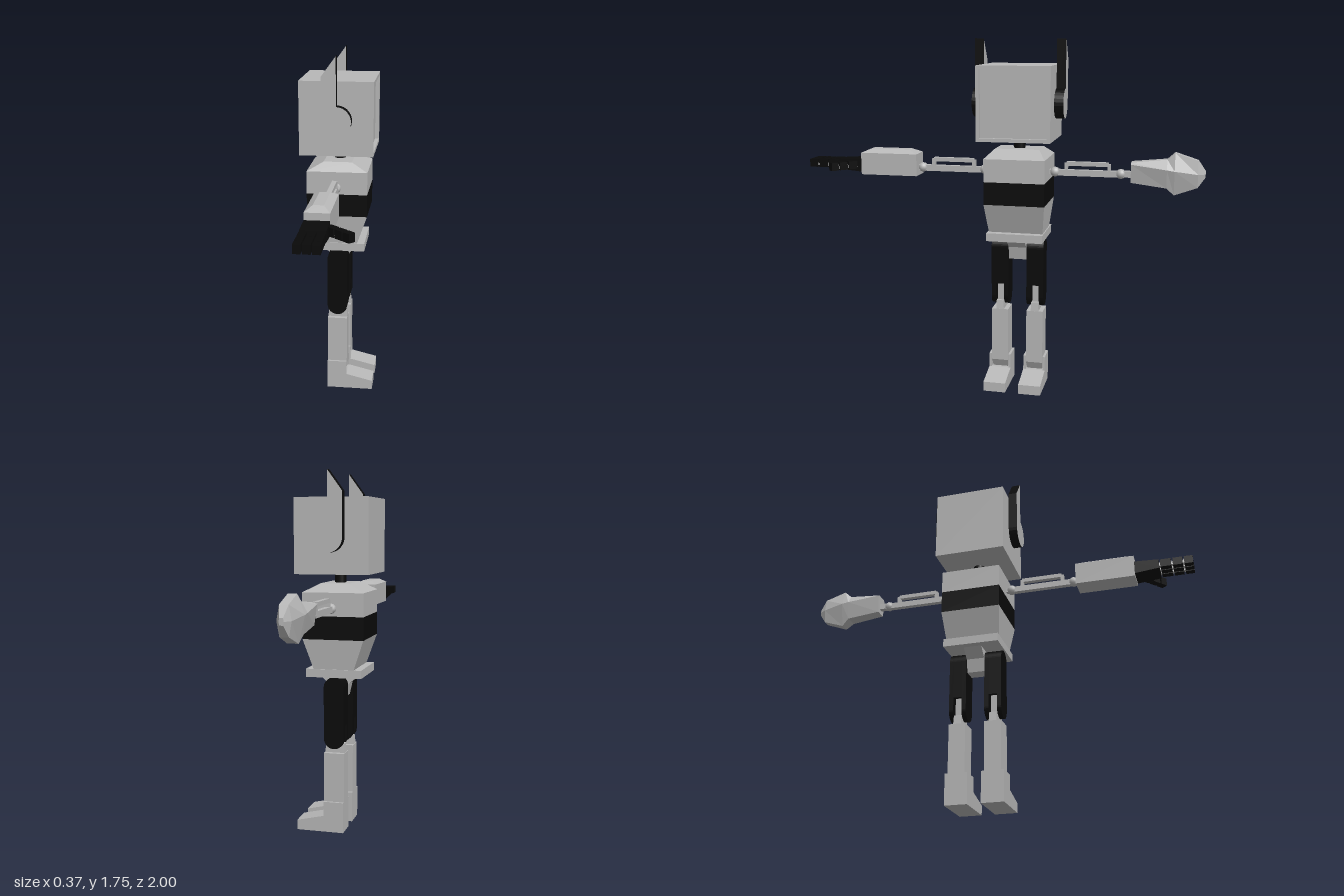
import * as THREE from 'three';

const CX = -0.005, CZ = -0.1, ARM_Y = 1.107;

export function createModel() {
  const gray = new THREE.MeshStandardMaterial({ name: 'gray metal', color: 0xb8b8b8 });
  const black = new THREE.MeshStandardMaterial({ name: 'black rubber', color: 0x0a0a0a });
  const root = new THREE.Group();
  root.name = 'robot';

  const add = (parent, name, geo, mat, x = 0, y = 0, z = 0) => {
    const m = new THREE.Mesh(geo, mat);
    m.name = name;
    m.position.set(x, y, z);
    parent.add(m);
    return m;
  };
  const group = (name, parent = root) => {
    const g = new THREE.Group();
    g.name = name;
    parent.add(g);
    return g;
  };
  // box given by its limits
  const box = (parent, name, mat, x0, x1, y0, y1, z0, z1) =>
    add(parent, name, new THREE.BoxGeometry(x1 - x0, y1 - y0, z1 - z0), mat,
      (x0 + x1) / 2, (y0 + y1) / 2, (z0 + z1) / 2);
  // capped faceted loft through rings of [x, y, z], rising along y
  const loft = (rings) => {
    const p = [], n = rings[0].length, last = rings[rings.length - 1];
    for (let i = 0; i + 1 < rings.length; i++) {
      for (let j = 0; j < n; j++) {
        const k = (j + 1) % n, a = rings[i][j], b = rings[i][k], c = rings[i + 1][k], d = rings[i + 1][j];
        p.push(...a, ...b, ...c, ...a, ...c, ...d);
      }
    }
    for (let j = 1; j + 1 < n; j++) {
      p.push(...last[0], ...last[j], ...last[j + 1]);
      p.push(...rings[0][0], ...rings[0][j + 1], ...rings[0][j]);
    }
    const g = new THREE.BufferGeometry();
    g.setAttribute('position', new THREE.Float32BufferAttribute(p, 3));
    g.computeVertexNormals();
    return g;
  };
  const rect = (y, hx, hz) => [[hx, y, hz], [hx, y, -hz], [-hx, y, -hz], [-hx, y, hz]];
  const shapeOf = (pts) => new THREE.Shape(pts.map(([x, y]) => new THREE.Vector2(x, y)));
  const extrude = (shape, depth) =>
    new THREE.ExtrudeGeometry(shape, { depth, bevelEnabled: false, curveSegments: 10 });

  // head: box with a recessed screen on its +x face
  const head = group('head');
  box(head, 'headBox', gray, -0.185, 0.155, 1.267, 1.627, -0.28, 0.08);
  const rim = shapeOf([[-0.18, -0.18], [0.18, -0.18], [0.18, 0.18], [-0.18, 0.18]]);
  rim.holes.push(new THREE.Path([[-0.163, -0.163], [-0.163, 0.163], [0.163, 0.163], [0.163, -0.163]]
    .map(([x, y]) => new THREE.Vector2(x, y))));
  add(head, 'screenFrame', extrude(rim, 0.02), gray, 0.155, 1.447, CZ).rotation.y = Math.PI / 2;

  // ear discs with blade antennas, dark on the edges
  const ear = new THREE.Shape();
  ear.moveTo(-0.072, 0);
  ear.absarc(0, 0, 0.072, Math.PI, Math.PI * 2.5, false);
  ear.lineTo(0, 0.308);
  ear.lineTo(-0.072, 0.21);
  for (const [name, z] of [['leftEar', 0.08], ['rightEar', -0.325]])
    add(head, name, extrude(ear, 0.045), [gray, black], 0, 1.442, z);
  add(root, 'neck', new THREE.CylinderGeometry(0.029, 0.029, 0.06, 12), black, CX, 1.245, CZ);

  // torso, waist band and hips
  const torso = group('torso');
  const slab = (name, mat, ...r) => add(torso, name, loft(r.map((a) => rect(...a))), mat, CX, 0, CZ);
  slab('chest', gray, [1.067, 0.15, 0.15], [1.18, 0.15, 0.15], [1.222, 0.07, 0.11]);
  slab('chestBand', black, [0.955, 0.15, 0.15], [1.067, 0.15, 0.15]);
  slab('abdomen', gray, [0.81, 0.1, 0.135], [0.955, 0.15, 0.15]);
  slab('beltPlate', gray, [0.77, 0.137, 0.14], [0.81, 0.137, 0.14]);
  add(torso, 'pelvis', extrude(shapeOf([[-0.1, 0.77], [-0.05, 0.725], [-0.035, 0.66], [0.035, 0.66],
    [0.05, 0.725], [0.1, 0.77]]), 0.09), gray, CX, 0, CZ - 0.045);

  // legs
  const stadium = new THREE.Shape();
  stadium.absarc(0, 0.72, 0.05, 0, Math.PI, false);
  stadium.absarc(0, 0.467, 0.05, Math.PI, Math.PI * 2, false);
  const core = new THREE.Shape();
  core.absarc(0, 0.72, 0.05, 0, Math.PI, false);
  core.lineTo(-0.05, 0.53);
  core.lineTo(0.05, 0.53);
  const sole = shapeOf([[-0.05, 0], [0.185, 0], [0.185, 0.048], [0.05, 0.08], [-0.05, 0.08]]);
  for (const [name, s] of [['leftLeg', 1], ['rightLeg', -1]]) {
    const leg = group(name);
    leg.position.set(CX, 0, CZ + s * 0.0895);
    for (const z of [-0.043, 0.021]) add(leg, 'thighPlate', extrude(stadium, 0.022), black, 0, 0, z);
    add(leg, 'thighCore', extrude(core, 0.042), black, 0, 0, -0.021);
    box(leg, 'kneeStrut', gray, -0.03, 0.03, 0.42, 0.53, -0.015, 0.015);
    add(leg, 'kneeBase', loft([rect(0.39, 0.05, 0.02), rect(0.44, 0.045, 0.018)]), gray);
    add(leg, 'shin', loft([rect(0.08, 0.03, 0.038), rect(0.12, 0.05, 0.042), rect(0.395, 0.05, 0.042)]), gray);
    add(leg, 'foot', extrude(sole, 0.112), gray, 0, 0, -0.056);
    for (const z of [-0.056, 0.044]) box(leg, 'ankleWall', gray, -0.05, 0.05, 0.08, 0.152, z, z + 0.012);
    box(leg, 'heelWall', gray, -0.05, -0.038, 0.08, 0.152, -0.044, 0.044);
  }

  // upper arms: rod with a raised grip bar between two ball joints
  for (const [name, s] of [['leftArm', 1], ['rightArm', -1]]) {
    const arm = group(name);
    arm.position.set(CX, ARM_Y, CZ);
    const bar = (label, hx, y0, y1, a, b) =>
      box(arm, label, gray, -hx, hx, y0, y1, Math.min(s * a, s * b), Math.max(s * a, s * b));
    for (const [label, d] of [['shoulderJoint', 0.178], ['elbowJoint', 0.5]])
      add(arm, label, new THREE.IcosahedronGeometry(0.025, 1), gray, 0, 0, s * d);
    bar('shoulderPin', 0.011, -0.012, 0.012, 0.14, 0.18);
    bar('armRod', 0.013, -0.017, 0.013, 0.195, 0.485);
    bar('elbowPin', 0.014, -0.015, 0.015, 0.5, 0.56);
    bar('gripBar', 0.012, 0.033, 0.053, 0.235, 0.44);
    for (const d of [0.225, 0.435]) bar('gripPost', 0.012, 0.013, 0.046, d, d + 0.016);
  }

  // left forearm with a hipped top
  add(root, 'leftForearm', loft([rect(1.067, 0.056, 0.147), rect(1.178, 0.056, 0.147),
    rect(1.198, 0.024, 0.1)]), gray, CX, 0, 0.567);

  // left hand: palm, three fingers and a thumb with small pale joints
  const hand = group('leftHand');
  hand.position.set(CX, 1.117, 0);
  const palm = add(hand, 'palm', loft([
    [[0.056, 0, 0.028], [0.056, 0, -0.037], [-0.056, 0, -0.037], [-0.056, 0, 0.028]],
    [[0.056, 0.12, 0.022], [0.056, 0.12, -0.025], [-0.056, 0.12, -0.025], [-0.056, 0.12, 0.022]],
  ].map((r) => r.map(([x, y, z]) => [x, y, -z]).reverse())), black, 0, 0, 0.713);
  palm.rotation.x = Math.PI / 2;
  const digit = (name, x, z, turn, lengths) => {
    const g = group(name, hand);
    g.position.set(x, 0, z);
    g.rotation.y = turn;
    let d = 0;
    for (const len of lengths) {
      add(g, 'knuckle', new THREE.ConeGeometry(0.013, 0.026, 6), gray, 0, 0.002, d);
      box(g, 'segment', black, -0.0165, 0.0165, -0.02, 0.02, d + 0.004, d + len - 0.004);
      d += len;
    }
  };
  for (const x of [-0.0395, 0, 0.0395]) digit('finger', x, 0.835, 0, [0.06, 0.055, 0.05]);
  digit('thumb', 0.05, 0.742, 0.86, [0.055, 0.05, 0.045]);

  // right arm cannon: faceted, flaring, then closing to a blunt tip
  const cannon = [
    // distance, top half-width, top, side half-width, side height, bottom half-width, bottom
    [0.65, 0.03, 1.168, 0.043, 1.16, 0.03, 1.07],
    [0.82, 0.02, 1.187, 0.053, 1.14, 0.035, 1.05],
    [0.856, 0.02, 1.22, 0.053, 1.135, 0.025, 1.016],
    [0.965, 0.02, 1.185, 0.032, 1.12, 0.02, 1.055],
    [1.0, 0.008, 1.135, 0.011, 1.12, 0.008, 1.105],
  ].map(([d, tw, t, sw, m, bw, b]) =>
    [[tw, d, t], [sw, d, m], [bw, d, b], [-bw, d, b], [-sw, d, m], [-tw, d, t]]);
  add(root, 'rightCannon', loft(cannon), gray, CX, 0, 0).rotation.x = -Math.PI / 2;

  return root;
}
